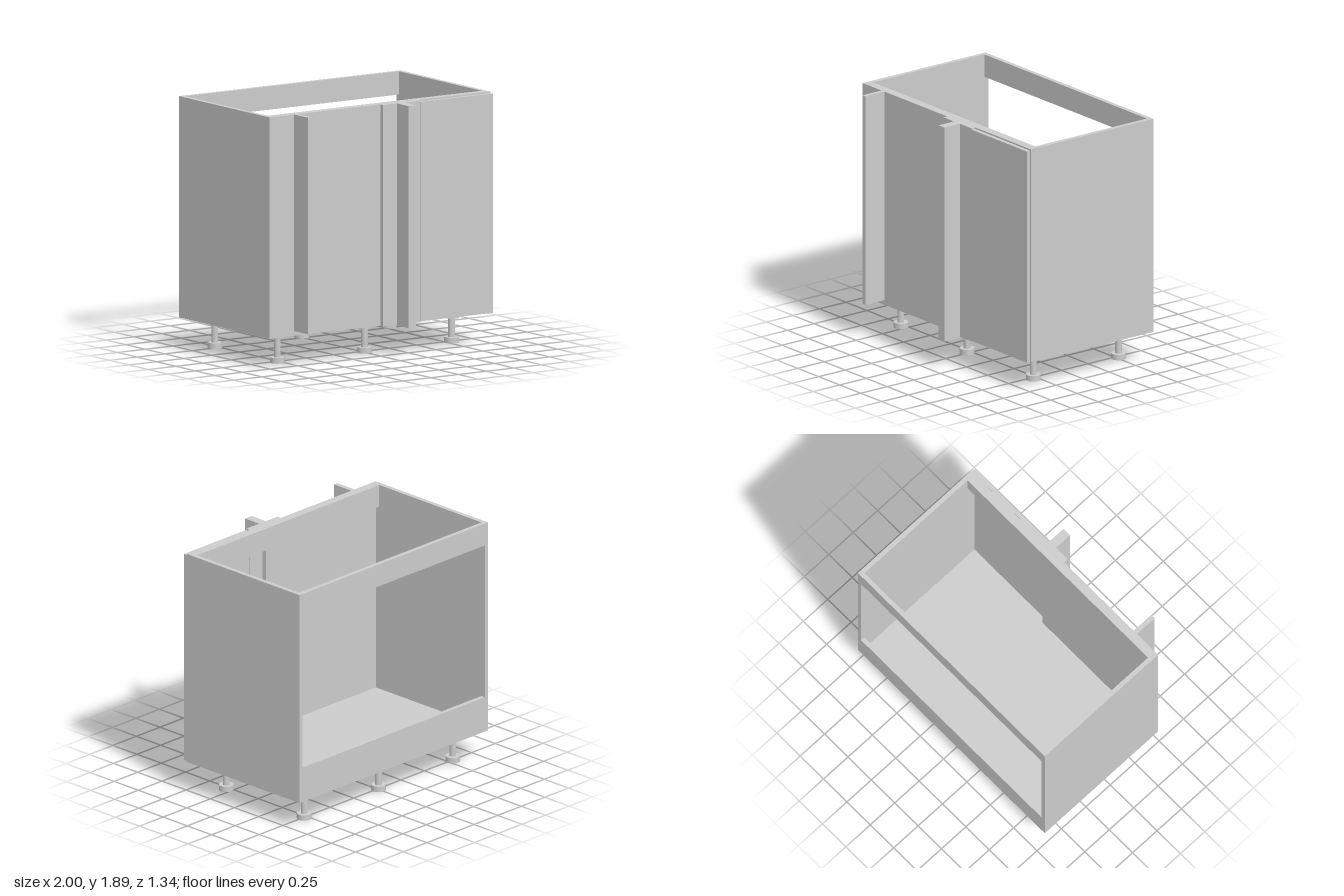
import * as THREE from 'three';

const material = new THREE.MeshStandardMaterial({ color: 0xcccccc });

// Board given by its extents along each axis
function board(name, [x0, x1], [y0, y1], [z0, z1]) {
  const mesh = new THREE.Mesh(new THREE.BoxGeometry(x1 - x0, y1 - y0, z1 - z0), material);
  mesh.position.set((x0 + x1) / 2, (y0 + y1) / 2, (z0 + z1) / 2);
  mesh.name = name;
  return mesh;
}

// Adjustable foot: base disc, stem and mounting disc
function foot(x, z) {
  const group = new THREE.Group();
  group.name = 'foot';
  for (const [name, radius, y0, y1] of [
    ['footBase', 0.055, 0, 0.042],
    ['footStem', 0.025, 0.042, 0.184],
    ['footMount', 0.055, 0.184, 0.226],
  ]) {
    const part = new THREE.Mesh(new THREE.CylinderGeometry(radius, radius, y1 - y0, 32), material);
    part.position.y = (y0 + y1) / 2;
    part.name = name;
    group.add(part);
  }
  group.position.set(x, 0, z);
  return group;
}

export function createModel() {
  const model = new THREE.Group();
  model.name = 'cornerBaseCabinet';

  const t = 0.035; // board thickness
  const bottom = 0.226, top = 1.886, back = -0.67, front = 0.49;
  const inner = [-1 + t, 1 - t];
  const railBottom = 1.712;

  model.add(
    // Carcass
    board('rightSide', [-1, -1 + t], [bottom, top], [back, front]),
    board('leftSide', [1 - t, 1], [bottom, top], [back, front]),
    board('floorPanel', inner, [bottom, bottom + t], [back, front]),
    board('backTopRail', inner, [railBottom, top], [back, back + t]),
    board('backBottomRail', inner, [bottom, 0.5], [back, back + t]),
    board('frontTopRail', inner, [railBottom, top], [front - 2 * t, front - t]),
    board('frontRailFacing', [0.2, 1 - t], [railBottom, top], [front - t, front]),

    // Fixed front, door and corner fillers
    board('blindPanel', [-1 + t, 0.2], [bottom, top], [front - t, front]),
    board('fillerPanel', [0.005, 0.337], [bottom, top], [front, front + t]),
    board('cornerPost', [0.13, 0.2], [0.22, top], [front, 0.67]),
    board('sideFin', [-0.775, -0.74], [0.262, top], [front, 0.67]),
    board('door', [0.341, 0.997], [0.231, 1.876], [front + 0.003, front + t])
  );

  // Two rows of three feet
  for (const x of [-0.79, -0.003, 0.785]) {
    for (const z of [0.295, -0.51]) model.add(foot(x, z));
  }

  return model;
}
